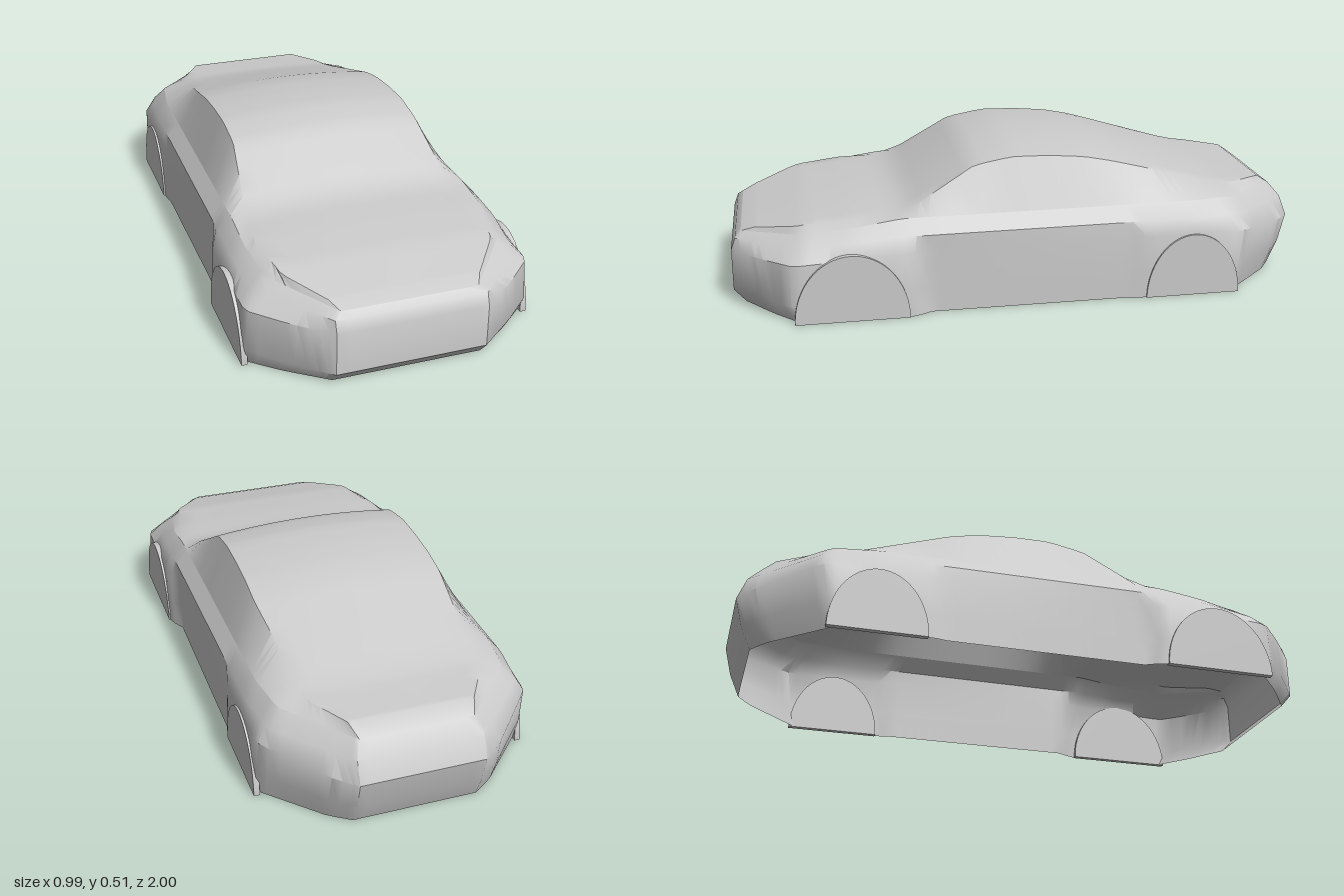
import * as THREE from 'three';
import { toCreasedNormals } from 'three/addons/utils/BufferGeometryUtils.js';

// Linear interpolation in a list of [z, value] pairs, ordered from back to front
function at(table, z) {
  if (z <= table[0][0]) return table[0][1];
  for (let i = 1; i < table.length; i++) {
    const [z0, a] = table[i - 1], [z1, b] = table[i];
    if (z <= z1) return a + (b - a) * (z - z0) / (z1 - z0);
  }
  return table[table.length - 1][1];
}

// Centre line of tail, roof, windscreen and bonnet, and its rise above the side edges
const topLine = [[-0.88, 0.337], [-0.72, 0.352], [-0.65, 0.37], [-0.3, 0.483], [-0.2, 0.503], [-0.08, 0.513], [0.05, 0.515],
  [0.18, 0.491], [0.4, 0.354], [0.45, 0.336], [0.6, 0.324], [0.75, 0.308], [0.92, 0.266]];
const crown = [[-0.88, 0], [-0.3, 0.024], [0.2, 0.022], [0.92, 0]];

// Half widths along the body: wheel level, shoulder level, roof and bonnet edge
const wheelPlan = [[-1, 0.21], [-0.95, 0.28], [-0.74, 0.468], [-0.4, 0.466], [-0.36, 0.458], [0.36, 0.456], [0.42, 0.488],
  [0.8, 0.488], [0.9, 0.38], [1, 0.25]];
const shoulderPlan = [[-1, 0.21], [-0.77, 0.425], [-0.6, 0.45], [0.6, 0.46], [0.78, 0.435], [1, 0.25]];
const edgePlan = [[-0.88, 0.21], [-0.75, 0.29], [-0.3, 0.335], [0.18, 0.336], [0.6, 0.385], [0.78, 0.355], [0.92, 0.25]];

// A rail runs along the flank; mix goes from wheel plan to shoulder plan
const rail = (back, front, mix, scale, tailY, midY, noseY) => (s) => {
  const width = THREE.MathUtils.lerp(at(wheelPlan, s), at(shoulderPlan, s), mix) * scale;
  const y = at([[-1, tailY], [-0.75, midY], [0.45, midY], [1, noseY]], s);
  return new THREE.Vector3(width, y, s * (s < 0 ? back : front));
};
const sill = rail(0.94, 0.96, 0, 1, 0, 0, 0);
const flank = rail(0.975, 1, 0, 1, 0.08, 0.09, 0.045);
const waist = rail(1, 1, 0.15, 1, 0.18, 0.22, 0.19);
const shoulder = rail(0.97, 0.985, 1, 1, 0.255, 0.273, 0.23);
const beltline = rail(0.93, 0.965, 1, 0.905, 0.303, 0.322, 0.248);
const topEdge = (s) => {
  const z = s * (s < 0 ? 0.88 : 0.92);
  return new THREE.Vector3(at(edgePlan, z), at(topLine, z) - at(crown, z), z);
};

// Stations from tail to nose, closer together at the ends
const N = 60, ACROSS = 12;
const stations = Array.from({ length: N + 1 }, (_, i) => {
  const t = (2 * i) / N - 1;
  return Math.sign(t) * (1 - Math.pow(1 - Math.abs(t), 1.25));
});

// Closed loop: left flank, across the nose, right flank, across the tail
function ring(railAt) {
  const left = stations.map(railAt);
  const right = left.map((p) => new THREE.Vector3(-p.x, p.y, p.z)).reverse();
  const loop = [...left];
  for (let j = 1; j < ACROSS; j++) loop.push(left[N].clone().lerp(right[0], j / ACROSS));
  loop.push(...right);
  for (let j = 1; j <= ACROSS; j++) loop.push(right[N].clone().lerp(left[0], j / ACROSS));
  return loop;
}

// Crowned sheet spanning the two top edges
function topRows() {
  return stations.map((s) => {
    const edge = topEdge(s);
    const rise = at(crown, edge.z);
    return Array.from({ length: ACROSS + 1 }, (_, j) => {
      const u = (2 * j) / ACROSS - 1;
      return new THREE.Vector3(edge.x * u, edge.y + rise * (1 - u * u), edge.z);
    });
  });
}

// Joins grids of points into one surface
function surface(grids) {
  const position = [], index = [];
  for (const rows of grids) {
    const start = position.length / 3, w = rows[0].length;
    rows.flat().forEach((p) => position.push(p.x, p.y, p.z));
    for (let k = 0; k < rows.length - 1; k++) {
      for (let i = 0; i < w - 1; i++) {
        const a = start + k * w + i, b = a + 1, d = a + w, c = d + 1;
        index.push(a, d, c, a, c, b);
      }
    }
  }
  const geometry = new THREE.BufferGeometry();
  geometry.setAttribute('position', new THREE.Float32BufferAttribute(position, 3));
  geometry.setIndex(index);
  return toCreasedNormals(geometry, 0.6);
}

// Flat filled wheel arch, lying in the flank
function archGeometry(radius, height) {
  const shape = new THREE.Shape();
  shape.moveTo(radius, 0);
  shape.absellipse(0, 0, radius, height, 0, Math.PI, false, 0);
  shape.closePath();
  const geometry = new THREE.ExtrudeGeometry(shape, { depth: 0.02, bevelEnabled: false, curveSegments: 20 });
  return geometry.translate(0, 0, -0.01).rotateY(Math.PI / 2);
}

export function createModel() {
  const group = new THREE.Group();
  const material = new THREE.MeshStandardMaterial({ color: 0xcccccc, side: THREE.DoubleSide });
  const add = (name, geometry) => {
    const mesh = new THREE.Mesh(geometry, material);
    mesh.name = name;
    group.add(mesh);
    return mesh;
  };

  add('lowerBody', surface([[sill, flank, waist, shoulder, beltline].map(ring)]));
  add('cabinAndBonnet', surface([[beltline, topEdge].map(ring), topRows()]));

  for (const [side, sign] of [['left', 1], ['right', -1]]) {
    add(side + 'FrontWheelArch', archGeometry(0.19, 0.23)).position.set(sign * 0.483, 0, 0.61);
    add(side + 'RearWheelArch', archGeometry(0.165, 0.22)).position.set(sign * 0.462, 0, -0.565);
  }
  return group;
}
